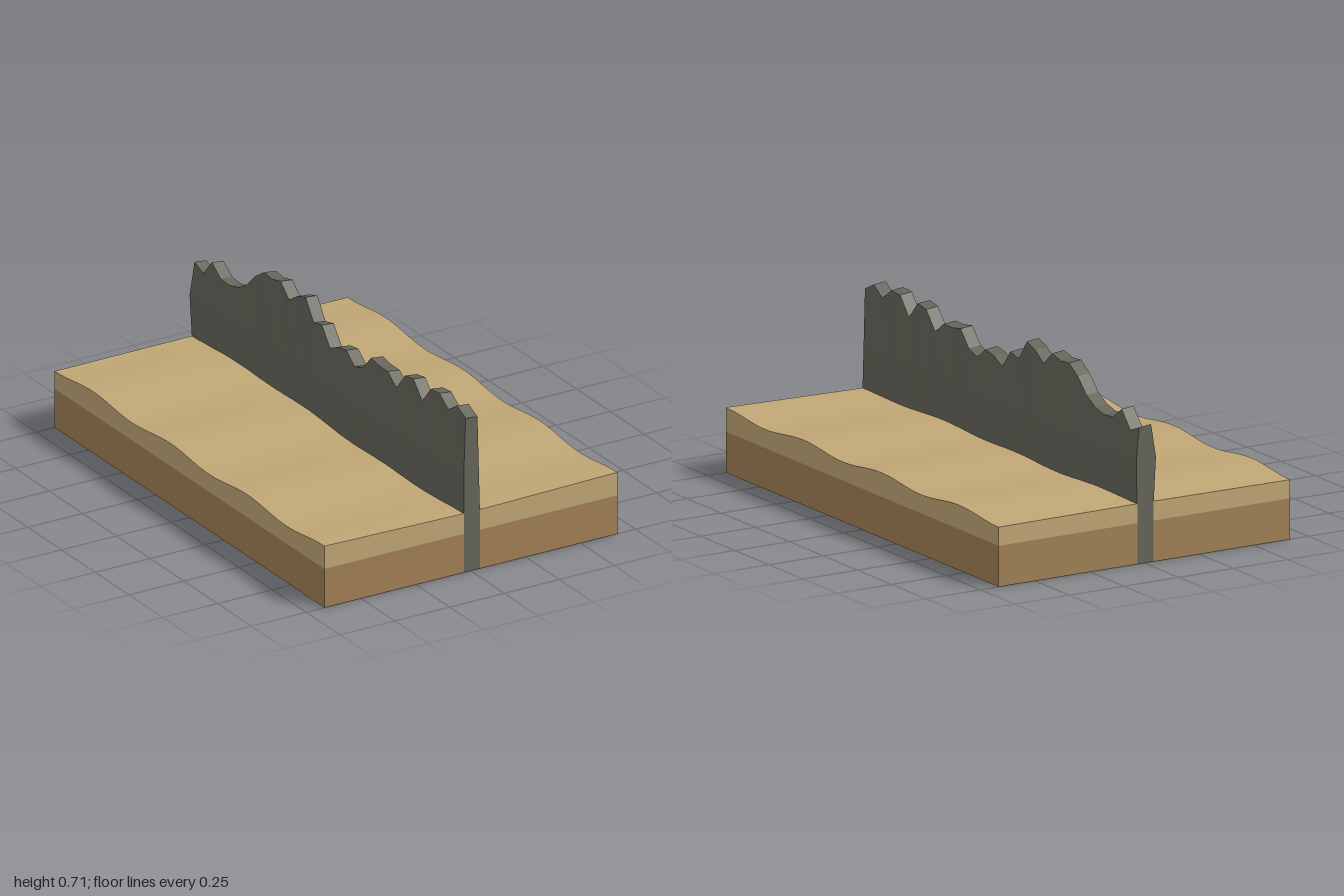
import * as THREE from 'three';

const HALF_X = 0.667, BASE_TOP = 0.165, STEPS = 32;

// Ridge heights of the broken wall top, evenly spaced from z = 1 to z = -1
const RIDGE = [
  0.655, 0.685, 0.645, 0.69, 0.685, 0.61, 0.68, 0.67, 0.595, 0.64, 0.64,
  0.65, 0.585, 0.565, 0.61, 0.6, 0.57, 0.645, 0.63, 0.715, 0.695, 0.655,
  0.71, 0.695, 0.7, 0.66, 0.6, 0.565, 0.55, 0.555, 0.6, 0.53, 0.555,
];

// Skins counterclockwise rings [x, y] along z from -1 to 1 and caps both ends
function loft(ringAt, steps, flat) {
  const pos = [], idx = [], rings = [];
  for (let k = 0; k <= steps; k++) rings.push(ringAt(-1 + (2 * k) / steps, k));
  const n = rings[0].length;
  const add = ([x, y], k) => pos.push(x, y, -1 + (2 * k) / steps);
  for (let i = 0; i < n; i++) {
    // each strip has its own vertices, so long edges stay sharp
    const s = pos.length / 3;
    for (let k = 0; k <= steps; k++) {
      add(rings[k][i], k);
      add(rings[k][(i + 1) % n], k);
      if (k < steps) {
        const a = s + 2 * k;
        idx.push(a, a + 1, a + 3, a, a + 3, a + 2);
      }
    }
  }
  for (const k of [0, steps]) {
    const s = pos.length / 3;
    rings[k].forEach((p) => add(p, k));
    for (let i = 1; i < n - 1; i++) {
      if (k) idx.push(s, s + i, s + i + 1);
      else idx.push(s, s + i + 1, s + i);
    }
  }
  let geo = new THREE.BufferGeometry();
  geo.setAttribute('position', new THREE.Float32BufferAttribute(pos, 3));
  geo.setIndex(idx);
  if (flat) geo = geo.toNonIndexed();
  geo.computeVertexNormals();
  return geo;
}

// Gentle sideways weave of the wall and its half thickness in the ground
const weave = (z) => -0.009 * Math.sin(1.2 * Math.PI * z);
const FOOT = 0.0365;

// Dune height: ripples along z that grow toward the outer edge (t = 1)
const dune = (z, t) =>
  0.247 + 0.004 * t + (0.004 + 0.007 * t) * Math.cos(3.5 * Math.PI * (z - 1));

// Ring for the ground on one side of the wall
function groundRing(side, z, yBottom, yInner, yOuter) {
  const xi = weave(z) + side * FOOT, xo = side * HALF_X;
  const ring = [[xi, yBottom], [xo, yBottom], [xo, yOuter], [xi, yInner]];
  return side > 0 ? ring : ring.reverse();
}

// Ring for the wall: straight foot, bulging middle, narrow jagged top
function wallRing(z, k) {
  const c = weave(z), h = RIDGE[STEPS - k];
  const end = z > 0.95 ? 0.007 : 0;
  const mr = c + 0.042 + 0.004 * Math.sin(k * 2.3) - end;
  const ml = c - 0.044 - 0.004 * Math.sin(k * 3.7 + 1) + end;
  const tc = c * 0.6, th = 0.027;
  return [
    [c + FOOT, 0], [c + FOOT, 0.23], [mr, 0.42], [tc + th, h - 0.006],
    [tc - th, h], [ml, 0.42], [c - FOOT, 0.23], [c - FOOT, 0],
  ];
}

export function createModel() {
  const group = new THREE.Group();
  const mat = (name, color) => {
    const m = new THREE.MeshStandardMaterial({ color });
    m.name = name;
    return m;
  };
  const sand = mat('sand', 0xc0a675);
  const soil = mat('soil', 0xa38157);
  const stone = mat('stone', 0x66665c);

  const part = (name, geo, material) => {
    const m = new THREE.Mesh(geo, material);
    m.name = name;
    group.add(m);
  };

  // Soil slab and rippled sand layer on each side of the wall
  for (const side of [1, -1]) {
    const label = side > 0 ? 'left' : 'right';
    part(label + 'Soil',
      loft((z) => groundRing(side, z, 0, BASE_TOP, BASE_TOP), STEPS), soil);
    part(label + 'Sand',
      loft((z) => groundRing(side, z, BASE_TOP, dune(z, 0), dune(z, 1)), 64), sand);
  }

  // Jagged stone wall running the full length
  part('stoneWall', loft(wallRing, STEPS, true), stone);
  return group;
}
